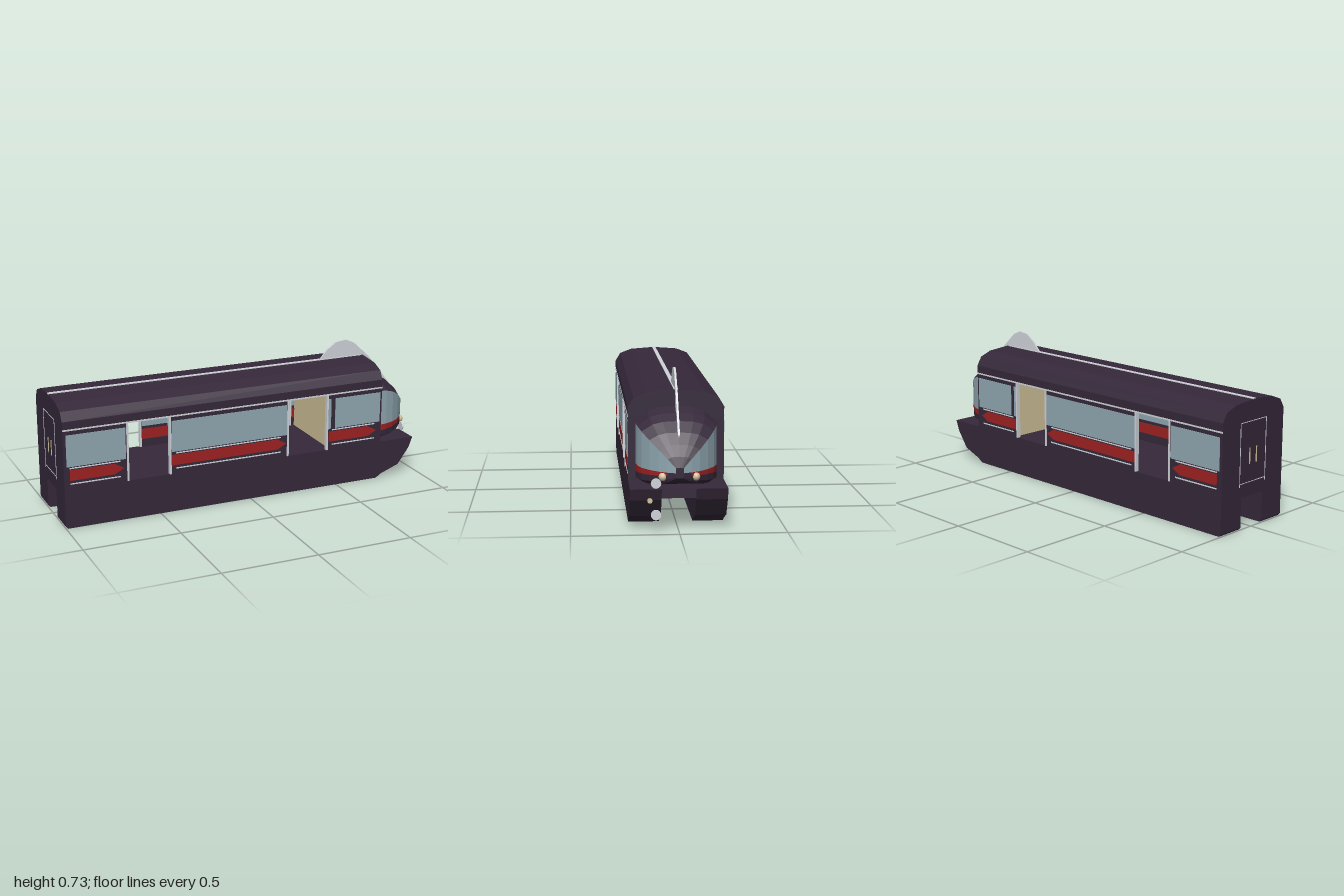
import * as THREE from 'three';

const mat = (name, color) => Object.assign(new THREE.MeshStandardMaterial({ color }), { name });

export function createModel() {
  const M = {
    dark: mat('dark plum', 0x35283a),
    red: mat('red', 0xa02222),
    glass: mat('window blue', 0x90a8b1),
    chrome: mat('light grey', 0xd0d4da),
    tan: mat('warm cream', 0xd4c39c),
  };
  const model = new THREE.Group();
  model.name = 'monorailCar';

  const add = (name, geo, m) => {
    const mesh = new THREE.Mesh(geo, m);
    mesh.name = name;
    model.add(mesh);
    return mesh;
  };
  // box given by its limits
  const box = (name, m, x0, x1, y0, y1, z0, z1) => {
    const g = new THREE.BoxGeometry(x1 - x0, y1 - y0, z1 - z0);
    g.translate((x0 + x1) / 2, (y0 + y1) / 2, (z0 + z1) / 2);
    return add(name, g, m);
  };
  const shape = (pts) => new THREE.Shape(pts.map(([x, y]) => new THREE.Vector2(x, y)));
  // plate drawn in x/y, thick along z
  const plate = (name, m, pts, z0, z1) => {
    const g = new THREE.ExtrudeGeometry(shape(pts), { depth: z1 - z0, bevelEnabled: false });
    return add(name, g.translate(0, 0, z0), m);
  };
  // symmetric z/y section swept along x
  const sweep = (name, m, half, x0, x1) => {
    const pts = [...half, ...half.filter((p) => p[0] > 0).reverse().map(([z, y]) => [-z, y])];
    const g = new THREE.ExtrudeGeometry(shape(pts), { depth: x1 - x0, bevelEnabled: false });
    return add(name, g.rotateY(Math.PI / 2).translate(x0, 0, 0), m);
  };

  // Side skirts straddling the rail, with the floor between them
  const skirt = [[-1, 0.01], [-0.99, 0], [0.745, 0], [0.775, 0.02], [0.88, 0.06],
    [0.945, 0.15], [0.965, 0.205], [-1, 0.205]];
  plate('leftSkirt', M.dark, skirt, 0.08, 0.227);
  plate('rightSkirt', M.dark, skirt, -0.227, -0.08);
  box('floor', M.dark, -1, 0.955, 0.16, 0.205, -0.081, 0.081);

  // Roof, ceiling and roof stripe
  sweep('roof', M.dark, [[0.227, 0.51], [0.227, 0.555], [0.2, 0.6], [0.135, 0.625], [0, 0.635]], -1, 0.765);
  box('ceiling', M.tan, -0.98, 0.745, 0.506, 0.511, -0.21, 0.21);
  box('roofStripe', M.chrome, -1, 0.75, 0.63, 0.638, -0.01, 0.01);

  // End walls and cab partition
  box('rearWall', M.dark, -1, -0.98, 0.205, 0.51, -0.227, 0.227);
  box('frontWall', M.dark, 0.745, 0.765, 0.205, 0.51, -0.227, 0.227);
  box('cabPartition', M.tan, 0.462, 0.472, 0.205, 0.506, -0.212, 0.212);

  // Rear door outline and handles
  for (const s of [-1, 1]) {
    box('rearDoorEdge', M.chrome, -1.002, -0.999, 0.215, 0.53, s * 0.095 - 0.0015, s * 0.095 + 0.0015);
    box('rearDoorHandle', M.tan, -1.003, -0.999, 0.32, 0.4, s * 0.025 - 0.003, s * 0.025 + 0.003);
  }
  for (const y of [0.23, 0.53]) box('rearDoorEdge', M.chrome, -1.002, -0.999, y - 0.0015, y + 0.0015, -0.095, 0.095);

  // Side walls: three panels each side, open doorways between
  const panels = [
    { x0: -1, x1: -0.67, glass: [[-0.985, -0.68]], red: [-0.97, -0.69], doors: [-0.67] },
    { x0: -0.445, x1: 0.21, glass: [[-0.437, 0.203]], red: [-0.44, 0.2], doors: [-0.445, 0.21] },
    { x0: 0.44, x1: 0.765, glass: [[0.447, 0.462], [0.486, 0.755]], red: [0.45, 0.735], doors: [0.44] },
  ];
  for (const s of [-1, 1]) {
    // place a layer between two distances from the middle
    const span = (a, b) => (s > 0 ? [a, b] : [-b, -a]);
    const outer = span(0.2255, 0.229), inner = span(0.208, 0.213);
    for (const p of panels) {
      box('sideWall', M.dark, p.x0, p.x1, 0.205, 0.51, ...span(0.212, 0.2265));
      for (const zs of [outer, inner]) {
        for (const [a, b] of p.glass) box('window', M.glass, a, b, 0.322, 0.486, ...zs);
        const [a, b] = p.red;
        plate('redStripe', M.red, [[a, 0.25], [b - 0.05, 0.25], [b, 0.276], [b - 0.05, 0.305], [a, 0.305]], ...zs);
      }
      for (const y of [0.233, 0.314]) box('trimLine', M.chrome, p.x0 + 0.03, p.x1 - 0.04, y - 0.003, y + 0.003, ...outer);
      for (const x of p.doors) box('doorPost', M.chrome, x - 0.005, x + 0.005, 0.205, 0.51, ...span(0.21, 0.231));
    }
    box('upperTrim', M.chrome, -1, 0.765, 0.507, 0.515, ...outer);
  }

  // Nose: rows run from the belly to the crown at each station along x
  const stations = [ // x, half width, belly, crown
    [0.764, 0.192, 0.21, 0.56], [0.82, 0.185, 0.211, 0.535], [0.87, 0.168, 0.214, 0.505],
    [0.92, 0.135, 0.22, 0.46], [0.96, 0.095, 0.231, 0.41], [0.985, 0.055, 0.245, 0.36],
    [1.0, 0.018, 0.262, 0.312],
  ];
  const rings = stations.map(([x, w, b, t], i) => {
    const k = i / (stations.length - 1);
    const red = 0.252 + 0.024 * k, sill = 0.288 - 0.002 * k;
    const brow = Math.min(0.295 + 0.97 * w, t - 0.003);
    return [[0, b], [0.86 * w, b], [w, b + 0.35 * (red - b)], [w, red], [w, sill], [w, brow],
      [0.7 * w, brow + 0.68 * (t - brow)], [0.42 * w, brow + 0.93 * (t - brow)], [0, t]]
      .map(([z, y]) => [x, y, z]);
  });
  const tris = { dark: [], red: [], glass: [] };
  for (const s of [-1, 1]) {
    const tri = (key, a, b, c) => {
      for (const p of s > 0 ? [a, b, c] : [a, c, b]) tris[key].push(p[0], p[1], p[2] * s);
    };
    const last = rings.length - 1;
    for (let i = 0; i < last; i++) {
      for (let r = 0; r < 8; r++) {
        const key = r === 4 ? 'glass' : r === 3 && i < last - 1 ? 'red' : 'dark';
        const a = rings[i][r], b = rings[i + 1][r], c = rings[i + 1][r + 1], d = rings[i][r + 1];
        tri(key, a, b, c);
        tri(key, a, c, d);
      }
    }
    for (let r = 0; r < 8; r++) tri('dark', [1, 0.287, 0], rings[last][r + 1], rings[last][r]);
  }
  const noseNames = { dark: 'noseShell', red: 'noseStripe', glass: 'windscreen' };
  for (const key in tris) {
    const g = new THREE.BufferGeometry();
    g.setAttribute('position', new THREE.Float32BufferAttribute(tris[key], 3));
    g.computeVertexNormals();
    add(noseNames[key], g, M[key]);
  }

  // Fin from the roof down the nose
  plate('fin', M.chrome, [[0.5, 0.63], [0.55, 0.687], [0.6, 0.722], [0.66, 0.73], [0.71, 0.708], [0.8, 0.625],
    [0.87, 0.54], [0.94, 0.45], [0.935, 0.437], [0.87, 0.495], [0.76, 0.55], [0.76, 0.63]], -0.005, 0.005);

  // Headlights and the small lamps at the front
  for (const s of [-1, 1]) {
    add('headlight', new THREE.SphereGeometry(0.02, 12, 8), M.tan).position.set(0.968, 0.264, s * 0.076);
  }
  const lamp = (m, r, x, y, z) => {
    const g = new THREE.CylinderGeometry(r, r, 0.008, 20).rotateZ(Math.PI / 2);
    add('frontLamp', g, m).position.set(x, y, z);
  };
  lamp(M.chrome, 0.024, 0.962, 0.232, 0.107);
  lamp(M.chrome, 0.024, 0.96, 0.083, 0.107);
  lamp(M.tan, 0.012, 0.993, 0.158, 0.137);

  return model;
}
